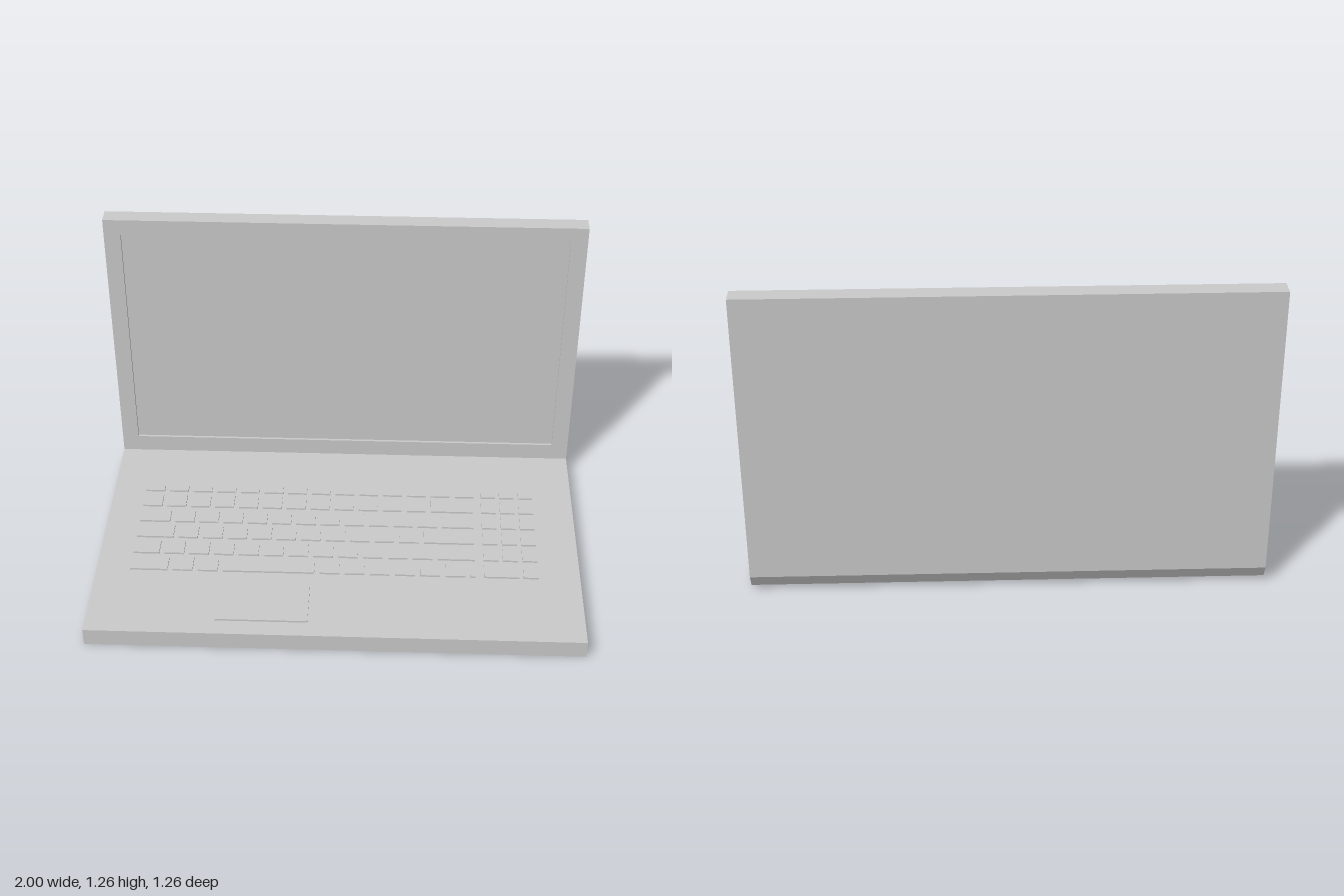
import * as THREE from 'three';

const material = new THREE.MeshStandardMaterial({ color: 0xcccccc, flatShading: true });
const DECK = 0.075, KEY_TOP = 0.083;

function addMesh(parent, geometry, name) {
  const mesh = new THREE.Mesh(geometry, material);
  mesh.name = name;
  parent.add(mesh);
  return mesh;
}

// Flat slab lying on the deck, given by its x and z limits
function addSlab(parent, name, x0, x1, z0, z1) {
  const h = KEY_TOP - DECK + 0.004;
  const mesh = addMesh(parent, new THREE.BoxGeometry(x1 - x0, h, z1 - z0), name);
  mesh.position.set((x0 + x1) / 2, KEY_TOP - h / 2, (z0 + z1) / 2);
}

// One row of keys: widths in key units, separated by a fixed gap
function addRow(parent, name, x, unit, widths, z0, z1, gap = 0.022) {
  for (const w of widths) {
    addSlab(parent, name, x, x + w * unit - gap, z0, z1);
    x += w * unit;
  }
}

export function createModel() {
  const model = new THREE.Group();
  model.name = 'laptop';

  // Base and lid: one L-shaped section with a bevelled hinge, swept across the width
  const section = new THREE.Shape([
    [-0.63, 0], [0.555, 0], [0.605, 0.022], [0.63, 0.075], [0.63, 1.26],
    [0.567, 1.26], [0.567, DECK], [-0.63, DECK],
  ].map(([a, y]) => new THREE.Vector2(a, y)));
  const body = new THREE.ExtrudeGeometry(section, { depth: 2, bevelEnabled: false });
  body.rotateY(Math.PI / 2).translate(-1, 0, 0);
  addMesh(model, body, 'baseAndLid');

  // Bezel: raised frame around the recessed screen
  const frame = new THREE.Shape([[-1, DECK], [1, DECK], [1, 1.26], [-1, 1.26]]
    .map(([x, y]) => new THREE.Vector2(x, y)));
  frame.holes.push(new THREE.Path([[-0.93, 0.15], [-0.93, 1.19], [0.93, 1.19], [0.93, 0.15]]
    .map(([x, y]) => new THREE.Vector2(x, y))));
  const bezel = new THREE.ExtrudeGeometry(frame, { depth: 0.011, bevelEnabled: false });
  addMesh(model, bezel.translate(0, 0, -0.567), 'screenBezel');

  // Main keyboard, back to front, under a row of short function keys
  const keyboard = new THREE.Group();
  keyboard.name = 'keyboard';
  model.add(keyboard);
  const ones = (n) => Array(n).fill(1);
  const left = -0.86, unit = 0.104;
  const rows = [
    [...ones(12), 1.95],
    [1.45, ...ones(11), 1.5],
    [1.7, ...ones(10), 2.25],
    [1.25, ...ones(11), 1.7],
    [1.7, 1, 1, 3.85, ...ones(6), 0.4],
  ];
  addRow(keyboard, 'functionKey', left, unit, ones(14), -0.295, -0.255);
  rows.forEach((widths, i) => {
    const z = -0.226 + i * 0.1035;
    addRow(keyboard, 'key', left, unit, widths, z, z + 0.075);
  });

  // Number pad beside the main keys
  const pad = new THREE.Group();
  pad.name = 'numberPad';
  model.add(pad);
  addRow(pad, 'padFunctionKey', 0.605, 0.081, ones(3), -0.295, -0.255, 0.018);
  for (let i = 0; i < 5; i++) {
    const z = -0.226 + i * 0.1035;
    addRow(pad, 'padKey', 0.605, 0.081, i === 4 ? [2, 1] : ones(3), z, z + 0.075, 0.018);
  }

  // Trackpad in front of the space bar
  addSlab(model, 'trackpad', -0.48, -0.11, 0.335, 0.555);

  return model;
}
